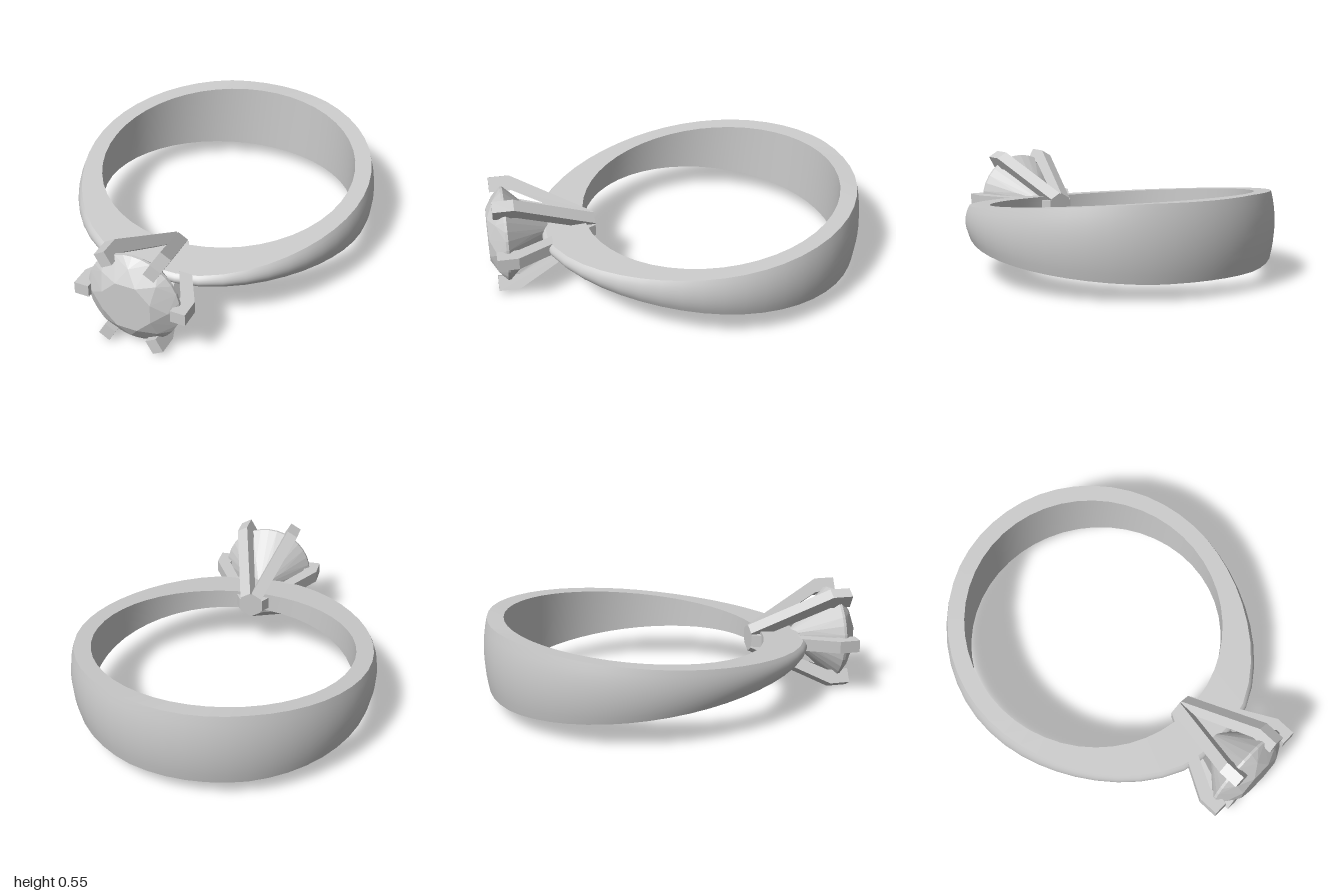
import * as THREE from 'three';
import { mergeGeometries } from 'three/addons/utils/BufferGeometryUtils.js';
import { ConvexGeometry } from 'three/addons/geometries/ConvexGeometry.js';

const CY = 0.283;      // height of the ring's middle plane
const BAND_Z = -0.2;   // centre of the finger hole
const INNER_R = 0.69;
const SEGMENTS = 48;

const grey = (flatShading) => new THREE.MeshStandardMaterial({ color: 0xcccccc, flatShading });

// Band outline: round at the back, swelling into a flat shoulder under the stone
function outerRadius(a) {
  const c = Math.cos(a);
  const r = 0.8 + 0.14 * Math.pow((1 + c) / 2, 7);
  return c > 0.5 ? Math.min(r, 0.92 / c) : r;
}

// Half height of the band tapers evenly from back to front
const halfHeight = (z) => Math.min(0.192, 0.1 - 0.1 * z);

// Point of the band at angle a (0 = front), radius r, across = -1..1 over its height
function bandPoint(a, r, edgeR, across) {
  const h = halfHeight(BAND_Z + edgeR * Math.cos(a));
  return [r * Math.sin(a), CY + across * h, BAND_Z + r * Math.cos(a)];
}

// One smooth closed strip around the ring; profile(a) lists the points across it
function strip(profile) {
  const positions = [], index = [];
  let n = 0;
  for (let i = 0; i < SEGMENTS; i++) {
    const row = profile((i / SEGMENTS) * Math.PI * 2);
    n = row.length;
    row.forEach((p) => positions.push(...p));
  }
  for (let i = 0; i < SEGMENTS; i++) {
    const next = (i + 1) % SEGMENTS;
    for (let j = 0; j < n - 1; j++) {
      const a = i * n + j, b = next * n + j;
      index.push(a, b, b + 1, a, b + 1, a + 1);
    }
  }
  const g = new THREE.BufferGeometry();
  g.setAttribute('position', new THREE.Float32BufferAttribute(positions, 3));
  g.setIndex(index);
  g.computeVertexNormals();
  return g;
}

function makeBand() {
  const BULGE = 0.022, STEPS = 8;
  const edge = (a) => outerRadius(a) - BULGE;
  const inner = (a, s) => bandPoint(a, INNER_R, INNER_R, s);
  const outer = (a, s) => bandPoint(a, edge(a), edge(a), s);
  // Separate strips keep the four long edges sharp
  const crown = strip((a) => Array.from({ length: STEPS + 1 }, (_, j) => {
    const t = (j / STEPS) * 2 - 1;
    return bandPoint(a, outerRadius(a) - BULGE * t * t, edge(a), t);
  }));
  const top = strip((a) => [outer(a, 1), inner(a, 1)]);
  const bore = strip((a) => [inner(a, 1), inner(a, -1)]);
  const bottom = strip((a) => [inner(a, -1), outer(a, -1)]);
  const mesh = new THREE.Mesh(mergeGeometries([crown, top, bore, bottom]), grey(false));
  mesh.name = 'band';
  return mesh;
}

// Six bent claws fanning out from a common foot
function makeProngs() {
  const WIDTH = 0.065;
  const profile = new THREE.Shape([
    [0, 0.435], [0.065, 0.435], [0.3, 0.86], [0.3, 0.97], [0.222, 0.97], [0.222, 0.855],
  ].map(([r, z]) => new THREE.Vector2(r, z)));
  const geometry = new THREE.ExtrudeGeometry(profile, { depth: WIDTH, bevelEnabled: false });
  geometry.translate(0, 0, -WIDTH / 2);
  geometry.rotateX(Math.PI / 2);
  const group = new THREE.Group();
  group.name = 'prongs';
  for (let i = 0; i < 6; i++) {
    const prong = new THREE.Mesh(geometry, grey(true));
    prong.name = 'prong' + (i + 1);
    prong.rotation.z = (i * Math.PI) / 3;
    group.add(prong);
  }
  group.position.y = CY;
  return group;
}

// Round brilliant stone: table, crown facets, girdle and pointed pavilion
function makeStone() {
  const points = [new THREE.Vector3(0, 0, 0.65)];
  const ring = (count, r, z, turn) => {
    for (let i = 0; i < count; i++) {
      const a = ((i + turn) / count) * Math.PI * 2;
      points.push(new THREE.Vector3(r * Math.cos(a), r * Math.sin(a), z));
    }
  };
  ring(8, 0.14, 1.0, 0.5);
  ring(8, 0.205, 0.962, 0);
  ring(32, 0.25, 0.918, 0);
  ring(32, 0.25, 0.904, 0);
  ring(8, 0.115, 0.765, 0.5);
  const stone = new THREE.Mesh(new ConvexGeometry(points), grey(true));
  stone.name = 'stone';
  stone.position.y = CY;
  return stone;
}

export function createModel() {
  const ring = new THREE.Group();
  ring.name = 'ring';
  ring.add(makeBand(), makeProngs(), makeStone());
  return ring;
}
